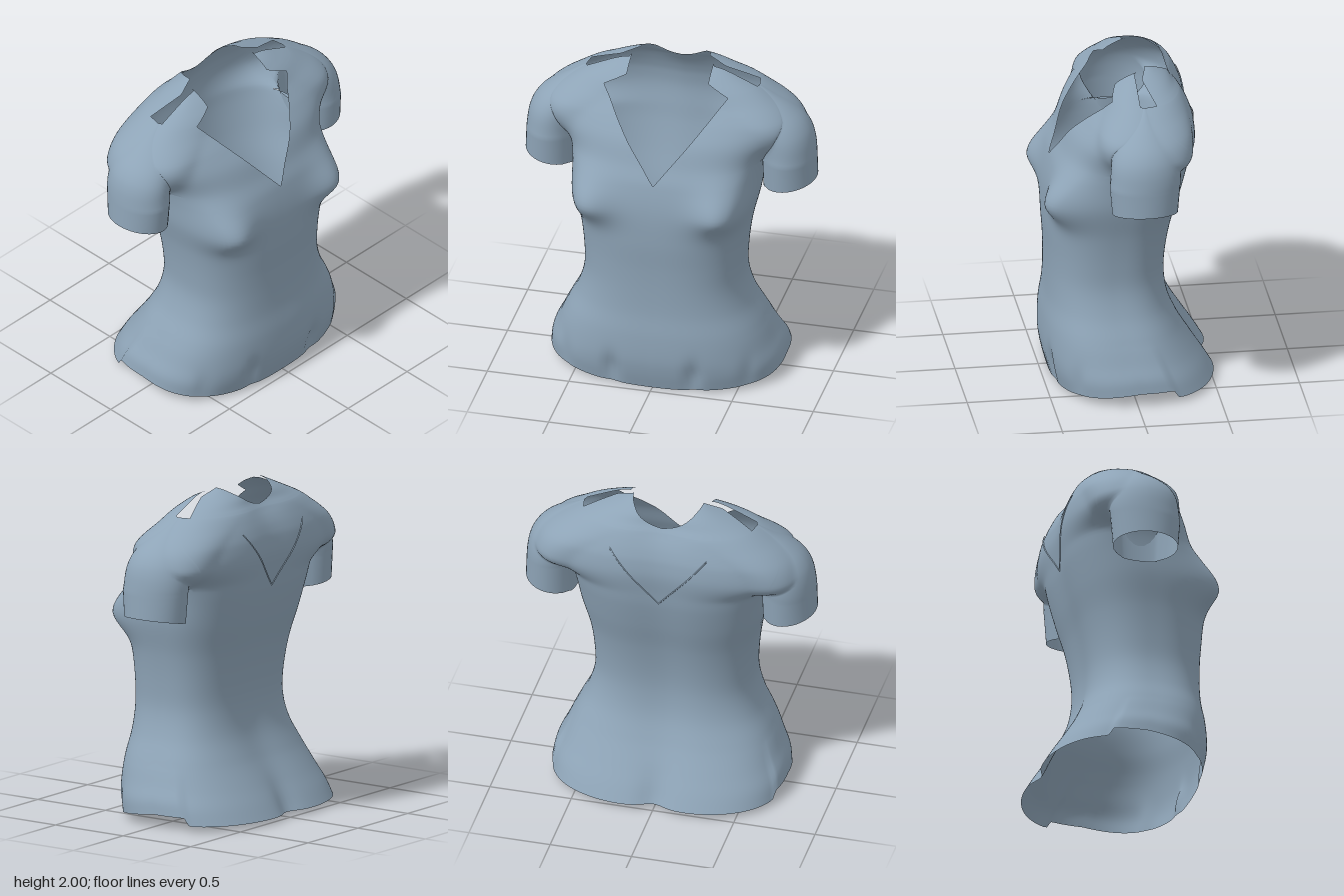
import * as THREE from 'three';
import { mergeVertices } from 'three/addons/utils/BufferGeometryUtils.js';

// Garment measurements by height: [y, half width, front z, back z, side seam z]
const PROFILE = [
  [0, 0.712, 0.45, -0.535, -0.02], [0.1, 0.698, 0.475, -0.48, 0], [0.2, 0.66, 0.488, -0.42, 0.02],
  [0.35, 0.605, 0.483, -0.335, 0.05], [0.5, 0.53, 0.465, -0.27, 0.07], [0.65, 0.488, 0.46, -0.245, 0.08],
  [0.8, 0.487, 0.463, -0.25, 0.08], [1.0, 0.51, 0.475, -0.285, 0.07], [1.2, 0.555, 0.47, -0.34, 0.04],
  [1.37, 0.575, 0.435, -0.38, -0.02], [1.47, 0.6, 0.39, -0.395, -0.04], [1.6, 0.67, 0.335, -0.41, -0.045],
  [1.7, 0.71, 0.26, -0.40, -0.05], [1.75, 0.685, 0.215, -0.385, -0.055], [1.8, 0.63, 0.17, -0.365, -0.06],
  [1.86, 0.54, 0.135, -0.335, -0.065], [1.9, 0.455, 0.10, -0.30, -0.06], [1.95, 0.34, 0.03, -0.26, -0.06],
  [2.0, 0.215, -0.09, -0.18, -0.11],
];
// Outer half width across the sleeves and shoulders
const OUTER = [
  [1.4, 0.888], [1.5, 0.88], [1.57, 0.868], [1.63, 0.845], [1.69, 0.8], [1.75, 0.725],
  [1.8, 0.645], [1.86, 0.545], [1.9, 0.46], [1.95, 0.34], [2.0, 0.215],
];
const ARM_R = 0.16, ARM_Z = 0.19, SPLIT = 1.45, SLOT = 1.868, N = 2.6;

const gauss = (d, s) => Math.exp(-((d / s) ** 2));
const clamp01 = (v) => Math.min(1, Math.max(0, v));
const smooth = THREE.MathUtils.smoothstep;
const range = (a, b, n) => Array.from({ length: n + 1 }, (_, i) => a + (b - a) * i / n);

// Smooth cubic lookup in a table
function lookup(table, y, c) {
  let i = 0;
  while (i < table.length - 2 && y > table[i + 1][0]) i++;
  const slope = (k) => {
    const a = table[Math.max(k - 1, 0)], b = table[Math.min(k + 1, table.length - 1)];
    return (b[c] - a[c]) / (b[0] - a[0]);
  };
  const p = table[i], q = table[i + 1], h = q[0] - p[0];
  const t = clamp01((y - p[0]) / h), t2 = t * t, t3 = t2 * t;
  return (2 * t3 - 3 * t2 + 1) * p[c] + (t3 - 2 * t2 + t) * h * slope(i)
    + (3 * t2 - 2 * t3) * q[c] + (t3 - t2) * h * slope(i + 1);
}

const halfWidth = (y, yoke) => lookup(yoke ? OUTER : PROFILE, y, 1);

// Inner edge of the cloth: V neck in front, round neck behind
function neckX(y, front) {
  if (!front) return y < 1.89 ? 0 : 0.215 * Math.sqrt((y - 1.89) / 0.11);
  if (y < 1.37) return 0;
  if (y < 1.85) return 0.38 * (y - 1.37) / 0.48;
  return y < 1.91 ? 0.38 - 0.13 * (y - 1.85) / 0.06 : 0.25;
}

// Point of the front or back cloth at a given x and height
function clothPoint(x, y, front, yoke) {
  const side = lookup(PROFILE, y, 4);
  let torsoW = lookup(PROFILE, y, 1);
  // the shoulder blades spread out toward the sleeves
  if (yoke && !front) torsoW += (lookup(OUTER, y, 1) - torsoW) * 0.65 * smooth(y, SPLIT, 1.6);
  const depth = Math.abs(lookup(PROFILE, y, front ? 2 : 3) - side);
  const zn = Math.pow(Math.max(0, 1 - Math.pow(Math.min(1, x / torsoW), N)), 1 / N);
  let d = depth * zn;
  if (front) {
    d += 0.135 * gauss(x - 0.45, 0.18) * gauss(y - 1.21, y < 1.21 ? 0.125 : 0.18) * Math.min(1, zn * 1.5); // bust
    d -= 0.03 * gauss(x - 0.25, 0.045) * gauss(y - 0.1, 0.1); // hem folds
    d -= 0.02 * gauss(x - 0.56, 0.04) * gauss(y - 0.1, 0.1) * zn;
  } else {
    // spine hollow, deeper at the hem and the nape
    d -= 0.025 * gauss(x, 0.17) * clamp01((2 - y) / 0.15) + 0.035 * gauss(x, 0.08) * gauss(y, 0.18);
    d -= 0.02 * gauss(x, 0.15) * gauss(y - 1.9, 0.08);
  }
  if (yoke) {
    // blend the round of the sleeve into the chest and shoulder
    const u = (x - (halfWidth(y, true) - ARM_R)) / ARM_R;
    const arm = ARM_Z * clamp01(1 - ((y - SPLIT) / 0.45) ** 3) * Math.sqrt(Math.max(0, 1 - u * u));
    d = 0.5 * (d + arm + Math.hypot(d - arm, 0.7 * arm));
  }
  // hem rises toward the sides
  const lift = front ? 0.08 * Math.pow(1 - zn, 0.7) : 0.03 + 0.05 * (1 - smooth(zn, 0.38, 0.46));
  return [x, y + lift * Math.max(0, 1 - y / 0.35), side + (front ? d : -d)];
}

// Where the cloth stops at the side: the seam, or the edge of the open shoulder slot
function outerX(x0, y, front, yoke) {
  const W = halfWidth(y, yoke);
  if (y < SLOT) return W;
  const edge = front ? -0.04 : -0.14 + 0.07 * clamp01((y - SLOT) / 0.1);
  let lo = x0, hi = W;
  for (let k = 0; k < 24; k++) {
    const mid = (lo + hi) / 2, z = clothPoint(mid, y, front, yoke)[2];
    if (front ? z > edge : z < edge) lo = mid;
    else hi = mid;
  }
  return lo;
}

// Mesh from grids of points; each grid is an array of rows
function gridGeometry(grids) {
  const pos = [], index = [];
  for (const { rows, flip } of grids) {
    const base = pos.length / 3, n = rows[0].length;
    rows.forEach((r) => r.forEach((p) => pos.push(...p)));
    for (let i = 0; i < rows.length - 1; i++) for (let j = 0; j < n - 1; j++) {
      const a = base + i * n + j, b = a + 1, c = b + n, d = a + n;
      if (flip) index.push(a, c, b, a, d, c);
      else index.push(a, b, c, a, c, d);
    }
  }
  let g = new THREE.BufferGeometry();
  g.setAttribute('position', new THREE.Float32BufferAttribute(pos, 3));
  g.setIndex(index);
  g = mergeVertices(g, 1e-4);
  g.computeVertexNormals();
  return g;
}

// One row of cloth from the neck or centre line to the side
function clothRow(y, front, yoke) {
  const x0 = Math.min(halfWidth(y, yoke), neckX(y, front)), x1 = outerX(x0, y, front, yoke);
  const ease = (t) => Math.sin(t * Math.PI / 2);
  const mid = yoke ? Math.max(x0, Math.min(lookup(PROFILE, y, 1), x1)) : x1;
  const xs = range(0, 1, 30).map((t) => x0 + (mid - x0) * ease(t));
  if (yoke) xs.push(...range(0, 1, 14).slice(1).map((t) => mid + (x1 - mid) * ease(t)));
  return xs.map((x) => clothPoint(x, y, front, yoke));
}

const mirrorX = (rows, s) => rows.map((r) => r.map(([x, y, z]) => [s * x, y, z]));

// Front and back panels through the given heights, on both sides
function panels(heights, yoke) {
  const grids = [];
  for (const front of [true, false]) for (const s of [1, -1]) {
    const rows = heights.map((y) => clothRow(y, front, yoke));
    grids.push({ rows: mirrorX(rows, s), flip: front !== (s > 0) });
  }
  return grids;
}

// Short sleeves: tubes hanging from the shoulder edge to a sloping hem
function sleeves() {
  const front = clothRow(SPLIT, true, true).slice(30), back = clothRow(SPLIT, false, true).slice(30).reverse();
  const [xi, , zf] = front[0], zb = back[back.length - 1][2];
  const inner = range(0, 1, 10).slice(1).map((k) => [
    xi - 0.024 * Math.sin(k * Math.PI), SPLIT, (zf + zb) / 2 - (zf - zb) / 2 * Math.cos(k * Math.PI)]);
  const ring = [...front, ...back.slice(1), ...inner];
  const rows = range(1, 0, 10).map((t) => ring.map(([x, y, z]) => {
    const hem = 1.25 + (x - 0.57) / 0.32 * 0.055;
    return [x + 0.006 * (1 - t), hem + (y - hem) * t, -0.038 + (z + 0.038) * (0.93 + 0.07 * t)];
  })).reverse();
  return [1, -1].map((s) => ({ rows: mirrorX(rows, s), flip: s < 0 }));
}

// Thin raised V seam on the back
function backSeam() {
  const rows = range(0, 1, 16).map((t) => [0, 0.006, 0.012].map((o, k) => {
    const p = clothPoint(0.3 * t, 1.395 + 0.36 * t + o, false, true);
    return [p[0], p[1], p[2] - (k === 1 ? 0.008 : 0.002)];
  }));
  return [1, -1].map((s) => ({ rows: mirrorX(rows, s), flip: s > 0 }));
}

export function createModel() {
  const group = new THREE.Group();
  group.name = 'shirt';
  const cloth = new THREE.MeshStandardMaterial({ color: 0x8ea4b7, side: THREE.DoubleSide });
  cloth.name = 'blueGreyCloth';
  const add = (name, grids) => {
    const mesh = new THREE.Mesh(gridGeometry(grids), cloth);
    mesh.name = name;
    group.add(mesh);
  };

  const bodyRows = [...range(0, 1.35, 54), 1.37, 1.39, 1.41, 1.43, SPLIT];
  const shoulderRows = [...range(SPLIT, 1.85, 24), 1.86, 1.867, 1.869, ...range(1.88, 2, 16)];
  add('shirtBody', [...panels(bodyRows, false), ...panels(shoulderRows, true), ...sleeves()]);
  add('backSeam', backSeam());
  return group;
}
